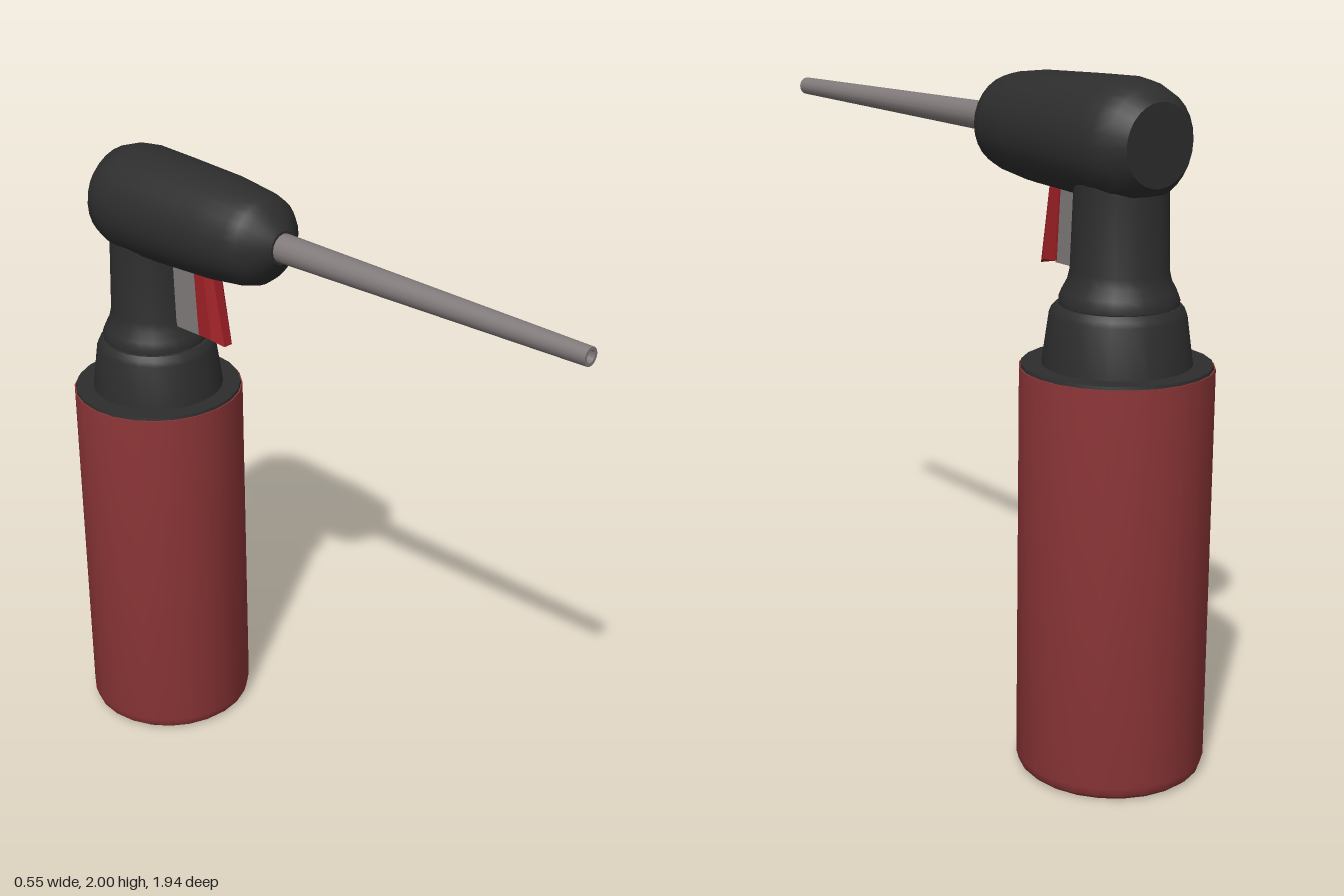
import * as THREE from 'three';
import { toCreasedNormals } from 'three/addons/utils/BufferGeometryUtils.js';

const material = (name, color) => Object.assign(new THREE.MeshStandardMaterial({ color }), { name });

export function createModel() {
  const bottleRed = material('bottle red', 0x8e3638);
  const triggerRed = material('trigger red', 0x9e2026);
  const black = material('black plastic', 0x2d2d2d);
  const steel = material('steel grey', 0x817a7a);

  const group = new THREE.Group();
  const bottleZ = -0.693, axisY = 1.826;

  const add = (name, geometry, mat, x = 0, y = 0, z = 0) => {
    const mesh = new THREE.Mesh(geometry, mat);
    mesh.name = name;
    mesh.position.set(x, y, z);
    group.add(mesh);
    return mesh;
  };
  // Turned part from [radius, height] pairs, bottom to top
  const turned = (points, sides = 24) => toCreasedNormals(
    new THREE.LatheGeometry(points.map(([r, h]) => new THREE.Vector2(r, h)), sides), 0.6);
  // Turned part lying along +z
  const turnedZ = (points, sides) => turned(points, sides).rotateX(Math.PI / 2);

  // Canister with bevelled foot
  add('bottle', turned([[0, 0], [0.252, 0], [0.266, 0.012], [0.274, 0.04], [0.274, 1.197], [0, 1.197]]),
    bottleRed, 0, 0, bottleZ);
  add('bottleTop', turned([[0, 1.196], [0.27, 1.196], [0.268, 1.206], [0.2, 1.206], [0, 1.206]]),
    black, 0, 0, bottleZ);

  // Stepped collar
  add('collar', turned([[0, 1.2], [0.212, 1.2], [0.192, 1.345], [0.186, 1.36], [0.174, 1.374], [0.1, 1.376]]),
    black, 0, 0, bottleZ);

  // Flared neck rising into the head
  add('neck', turned([[0.14, 1.36], [0.168, 1.376], [0.168, 1.392], [0.16, 1.412], [0.145, 1.44], [0.138, 1.47],
    [0.131, 1.69], [0.125, 1.78]]), black, 0, 0, bottleZ - 0.004);

  // Torch head
  add('head', turnedZ([[0, -0.853], [0.115, -0.853], [0.15, -0.815], [0.167, -0.765], [0.173, -0.715],
    [0.169, -0.58], [0.16, -0.36], [0.145, -0.235], [0.134, -0.195], [0.115, -0.17], [0.052, -0.122], [0, -0.122]], 28),
  black, 0, axisY, 0);

  // Tapered nozzle
  add('nozzle', turnedZ([[0, -0.16], [0.045, -0.16], [0.028, 0.973], [0.018, 0.973], [0.014, 0.94], [0, 0.94]], 16),
    steel, 0, axisY, 0);

  // Trigger lever: slanted bar with chamfered front, notched underneath
  const section = (y, front, mid, back) => [
    [0.016, y[0], front], [0.037, y[1], mid], [0.037, y[2], back],
    [-0.037, y[2], back], [-0.037, y[1], mid], [-0.016, y[0], front]];
  const low = section([1.437, 1.455, 1.458], -0.363, -0.4, -0.455);
  const high = section([1.69, 1.69, 1.69], -0.412, -0.43, -0.47);
  const corners = [];
  const tri = (...pts) => pts.forEach((p) => corners.push(...p));
  for (let i = 0; i < 6; i++) {
    const j = (i + 1) % 6;
    tri(low[i], high[j], low[j]);
    tri(low[i], high[i], high[j]);
    if (i > 0 && i < 5) {
      tri(low[0], low[i], low[i + 1]);
      tri(high[0], high[i + 1], high[i]);
    }
  }
  const lever = new THREE.BufferGeometry();
  lever.setAttribute('position', new THREE.Float32BufferAttribute(corners, 3));
  lever.computeVertexNormals();
  triggerRed.side = THREE.DoubleSide;
  add('trigger', lever, triggerRed);

  // Block behind the trigger
  add('triggerBlock', new THREE.BoxGeometry(0.06, 0.24, 0.16), steel, 0, 1.572, -0.53);

  return group;
}
